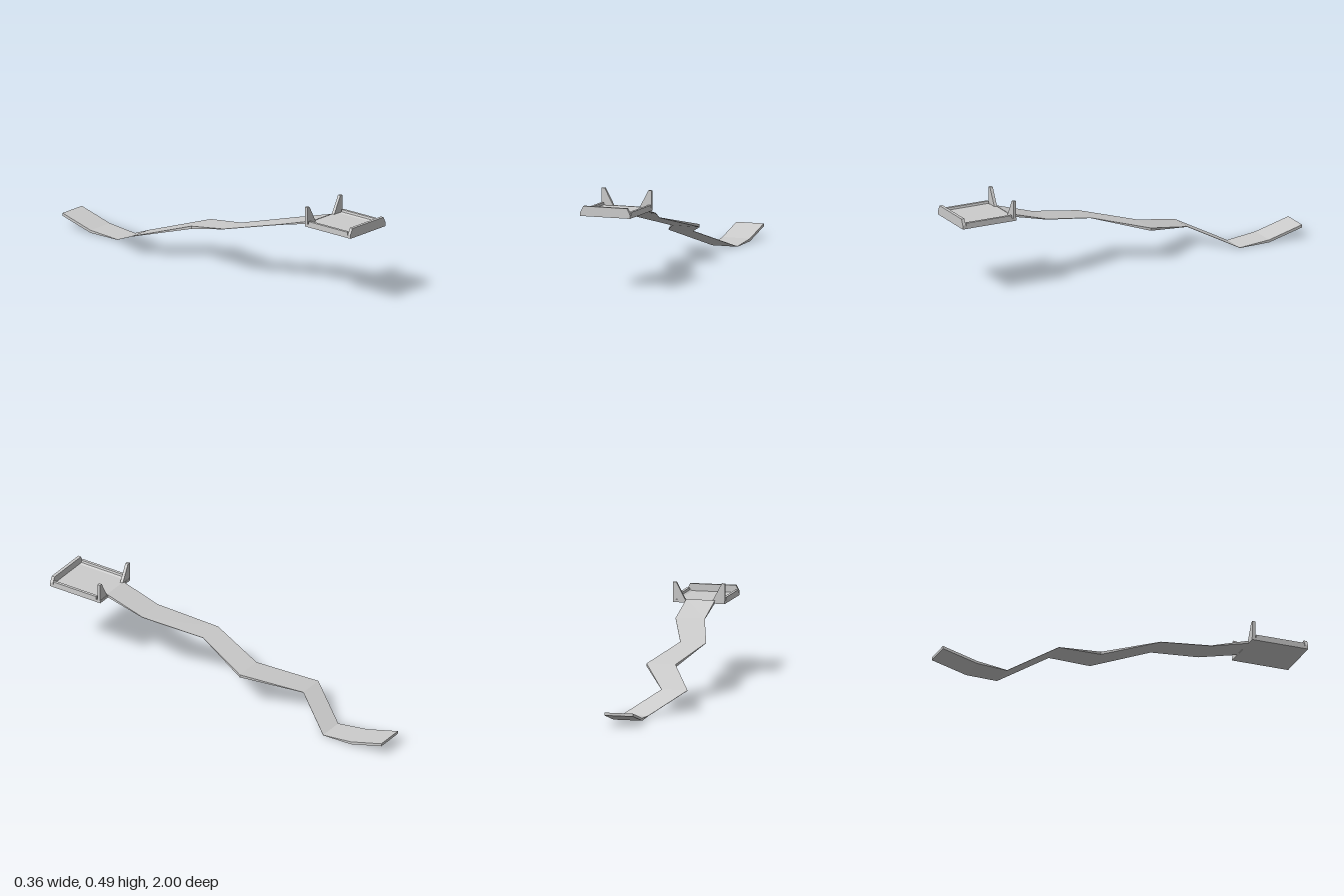
import * as THREE from 'three';

const material = new THREE.MeshStandardMaterial({ color: 0xcccccc, flatShading: true, side: THREE.DoubleSide });
const CENTER_X = 0.0425;   // middle of the platform
const HALF = 0.1375;       // half width of the platform

// Extrude a 2D outline along z from z0 to z1
function plate(name, points, z0, z1) {
  const shape = new THREE.Shape(points.map(([x, y]) => new THREE.Vector2(x, y)));
  const geo = new THREE.ExtrudeGeometry(shape, { depth: z1 - z0, bevelEnabled: false });
  geo.translate(0, 0, z0);
  const mesh = new THREE.Mesh(geo, material);
  mesh.name = name;
  return mesh;
}

// Zigzag ribbon lofted through rectangular sections
function ribbon() {
  // z left, z right, x left, x right, top y, bottom y
  const sections = [
    [-1.0, -1.0, -0.042, 0.11, 0.07, 0.055],
    [-0.81, -0.81, -0.042, 0.11, 0.018, 0.004],
    [-0.64, -0.64, -0.029, 0.11, 0.002, 0],
    [-0.415, -0.415, -0.181, -0.043, 0.106, 0.104],
    [-0.125, -0.125, -0.043, 0.11, 0.19, 0.175],
    [0.17, 0.17, -0.13, 0.007, 0.261, 0.259],
    [0.485, 0.475, -0.042, 0.11, 0.333, 0.33],
    [0.695, 0.695, -0.042, 0.11, 0.397, 0.382],
  ];
  const rings = sections.map(([zl, zr, l, r, t, b]) => [[l, t, zl], [r, t, zr], [r, b, zr], [l, b, zl]]);
  const pos = [];
  const quad = (a, b, c, d) => pos.push(...a, ...b, ...c, ...a, ...c, ...d);
  for (let i = 0; i < rings.length - 1; i++) {
    for (let k = 0; k < 4; k++) {
      const n = (k + 1) % 4;
      quad(rings[i][k], rings[i + 1][k], rings[i + 1][n], rings[i][n]);
    }
  }
  const first = rings[0], last = rings[rings.length - 1];
  quad(first[0], first[1], first[2], first[3]);
  quad(last[0], last[3], last[2], last[1]);
  const geo = new THREE.BufferGeometry();
  geo.setAttribute('position', new THREE.Float32BufferAttribute(pos, 3));
  geo.computeVertexNormals();
  const mesh = new THREE.Mesh(geo, material);
  mesh.name = 'zigzagPath';
  return mesh;
}

export function createModel() {
  const model = new THREE.Group();
  model.name = 'rampWithPlatform';
  model.add(ribbon());

  const platform = new THREE.Group();
  platform.name = 'platform';
  platform.position.x = CENTER_X;
  model.add(platform);

  // Floor slab
  platform.add(plate('platformFloor', [[-HALF, 0.38], [HALF, 0.38], [HALF, 0.395], [-HALF, 0.395]], 0.69, 1));

  // Front lip with clipped corners
  platform.add(plate('frontLip', [
    [-HALF, 0.38], [HALF, 0.38], [HALF, 0.4], [HALF - 0.016, 0.432], [-HALF + 0.016, 0.432], [-HALF, 0.4],
  ], 0.983, 1));

  // Side rails and tapered back posts, mirrored
  for (const [side, s] of [['left', 1], ['right', -1]]) {
    const flip = (pts) => pts.map(([inset, y]) => [s * (HALF - inset), y]);
    platform.add(plate(side + 'Rail', flip([
      [0, 0.385], [0, 0.411], [0.015, 0.411], [0.018, 0.4], [0.03, 0.395], [0.03, 0.385],
    ]), 0.715, 0.98));
    platform.add(plate(side + 'BackPost', flip([
      [0, 0.38], [0, 0.485], [0.017, 0.485], [0.045, 0.432], [0.065, 0.395], [0.065, 0.38],
    ]), 0.692, 0.708));
  }
  return model;
}
